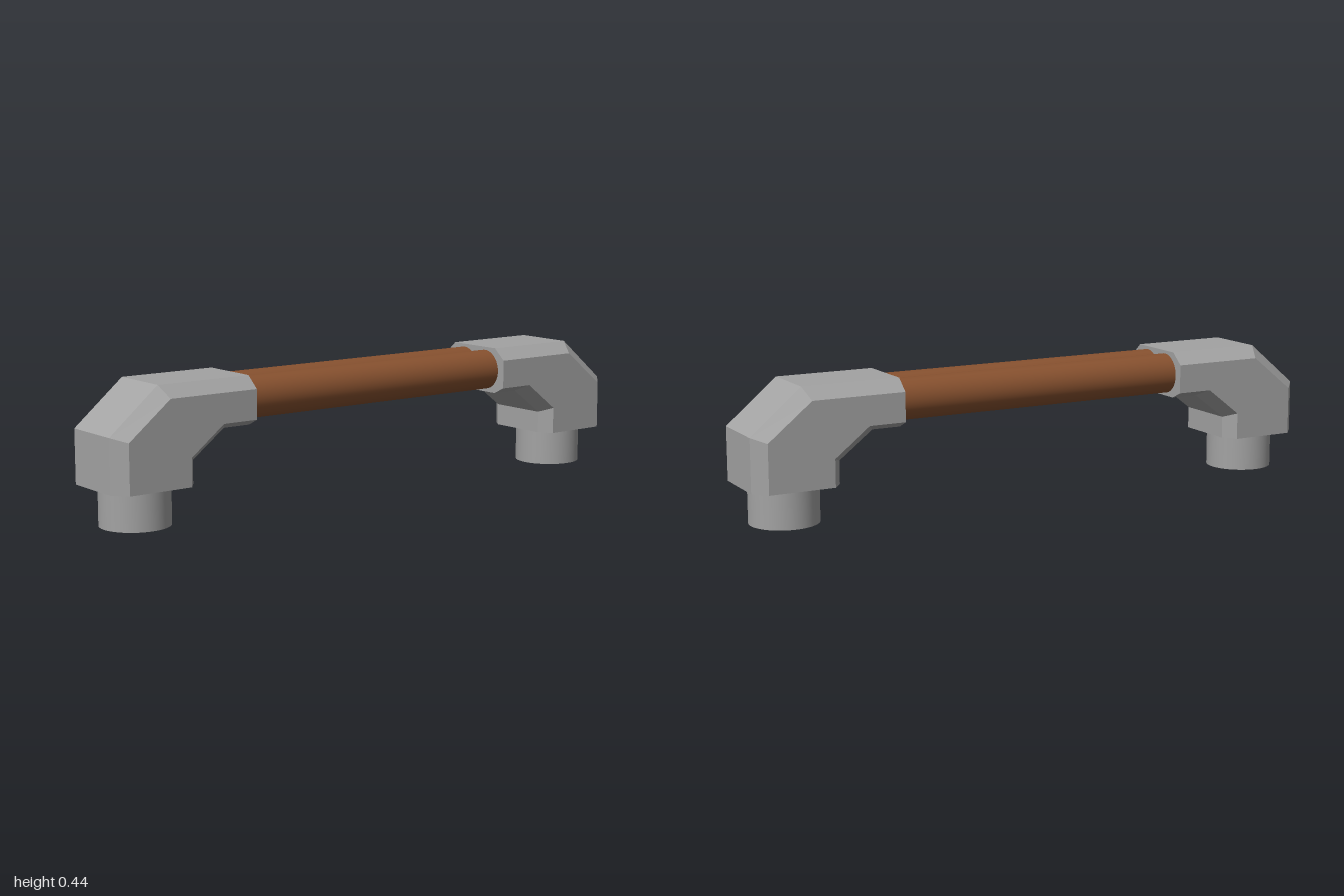
import * as THREE from 'three';

// Octagonal elbow: four cross-sections swept from the foot up to the rod socket.
function elbowGeometry() {
  const flat = 0.103, wide = 0.147;
  // each station: outer face, outer chamfer, inner chamfer, inner face as [z, y]
  const stations = [
    [[1, 0.125], [0.96, 0.125], [0.745, 0.125], [0.713, 0.125]],
    [[1, 0.297], [0.96, 0.283], [0.745, 0.214], [0.713, 0.198]],
    [[0.832, 0.438], [0.815, 0.4], [0.628, 0.305], [0.6, 0.284]],
    [[0.507, 0.438], [0.507, 0.4], [0.507, 0.305], [0.507, 0.284]],
  ];
  const halfWidths = [flat, wide, wide, flat];
  const rings = stations.map((s) => {
    const left = s.map(([z, y], i) => [halfWidths[i], y, z]);
    const right = left.map(([x, y, z]) => [-x, y, z]).reverse();
    return [...left, ...right];
  });
  const pos = [];
  const tri = (a, b, c) => pos.push(...a, ...b, ...c);
  for (let i = 0; i < 3; i++) {
    for (let j = 0; j < 8; j++) {
      const k = (j + 1) % 8;
      const a = rings[i][j], b = rings[i][k], c = rings[i + 1][j], d = rings[i + 1][k];
      tri(a, b, d);
      tri(a, d, c);
    }
  }
  // end caps
  for (let j = 1; j < 7; j++) {
    tri(rings[0][0], rings[0][j + 1], rings[0][j]);
    tri(rings[3][0], rings[3][j], rings[3][j + 1]);
  }
  const geo = new THREE.BufferGeometry();
  geo.setAttribute('position', new THREE.Float32BufferAttribute(pos, 3));
  geo.computeVertexNormals();
  return geo;
}

export function createModel() {
  const model = new THREE.Group();
  model.name = 'handle';
  const metal = new THREE.MeshStandardMaterial({ color: 0xa3a3a3 });
  metal.name = 'grey metal';
  const wood = new THREE.MeshStandardMaterial({ color: 0x87512f });
  wood.name = 'brown rod';

  const add = (parent, name, geo, mat, x = 0, y = 0, z = 0) => {
    const mesh = new THREE.Mesh(geo, mat);
    mesh.name = name;
    mesh.position.set(x, y, z);
    parent.add(mesh);
  };

  // end brackets with round mounting feet
  const elbow = elbowGeometry();
  const foot = new THREE.CylinderGeometry(0.111, 0.111, 0.13, 48);
  ['frontBracket', 'backBracket'].forEach((name, i) => {
    const bracket = new THREE.Group();
    bracket.name = name;
    add(bracket, 'elbow', elbow, metal);
    add(bracket, 'foot', foot, metal, 0, 0.065, 0.857);
    bracket.rotation.y = i * Math.PI;
    model.add(bracket);
  });

  // twin grip rods
  const rod = new THREE.CylinderGeometry(0.0665, 0.0665, 1.1, 48).rotateX(Math.PI / 2);
  add(model, 'leftRod', rod, wood, 0.053, 0.361, 0);
  add(model, 'rightRod', rod, wood, -0.053, 0.361, 0);
  return model;
}
